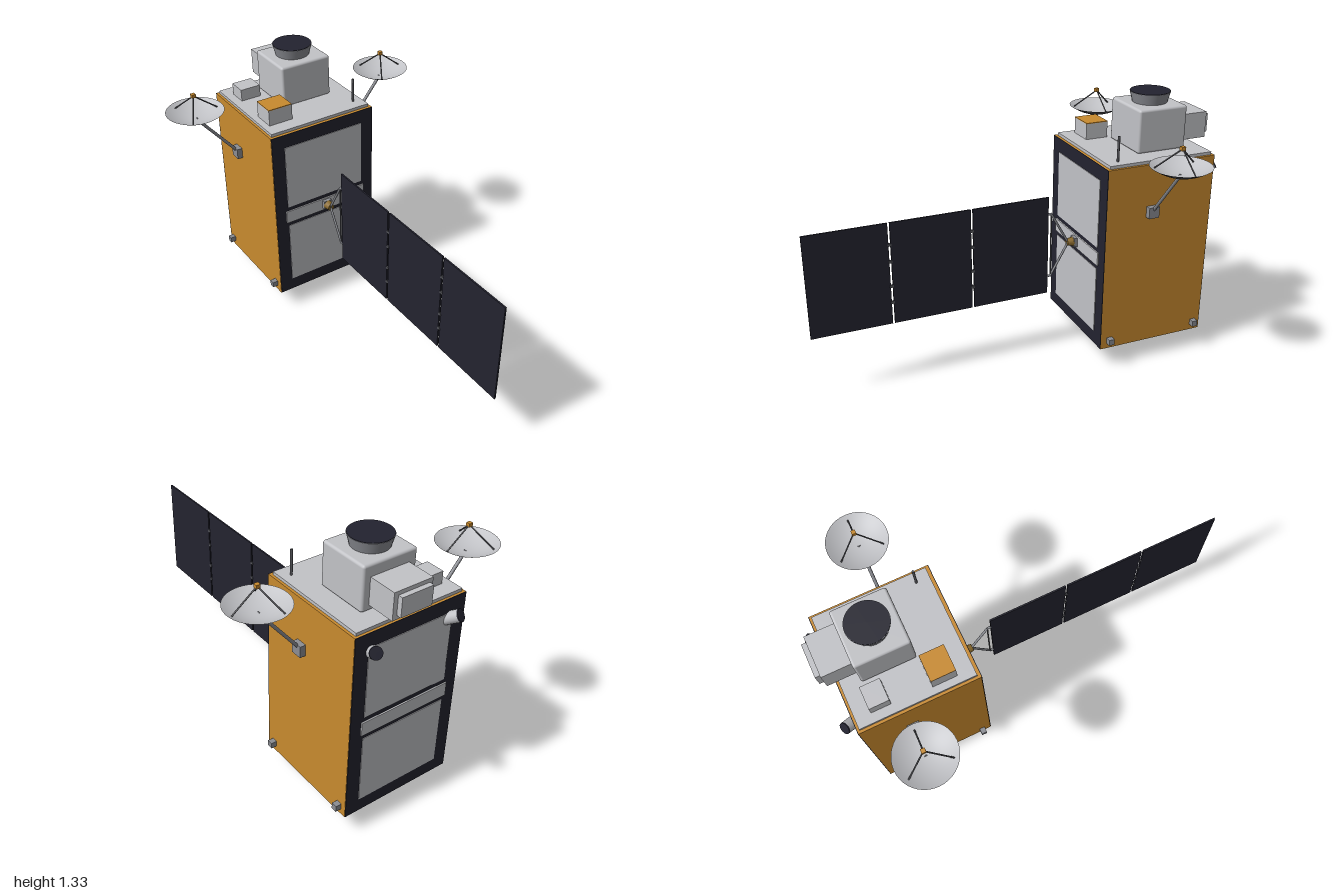
import * as THREE from 'three';
import { RoundedBoxGeometry } from 'three/addons/geometries/RoundedBoxGeometry.js';

const mat = (name, color) => {
  const m = new THREE.MeshStandardMaterial({ color });
  m.name = name;
  return m;
};

export function createModel() {
  const foil = mat('gold foil', 0xc88a2e);
  const navy = mat('dark navy', 0x23232f);
  const light = mat('light grey', 0xc2c3c7);
  const grey = mat('mid grey', 0x8b8d93);
  const charcoal = mat('charcoal', 0x55565b);
  const bronze = mat('bronze', 0x8a6a2c);

  const model = new THREE.Group();
  model.name = 'satellite';
  const add = (name, geo, m, x = 0, y = 0, z = 0, parent = model) => {
    const mesh = new THREE.Mesh(geo, m);
    mesh.name = name;
    mesh.position.set(x, y, z);
    parent.add(mesh);
    return mesh;
  };
  // box given by its limits on each axis
  const box = (name, m, [x0, x1], [y0, y1], [z0, z1], parent) =>
    add(name, new THREE.BoxGeometry(x1 - x0, y1 - y0, z1 - z0), m,
      (x0 + x1) / 2, (y0 + y1) / 2, (z0 + z1) / 2, parent);
  // round bar between two points
  const rod = (name, m, a, b, r, parent, rEnd = r, sides = 10) => {
    const p = new THREE.Vector3(...a), q = new THREE.Vector3(...b);
    const d = q.clone().sub(p);
    const mid = p.clone().add(q).multiplyScalar(0.5);
    const mesh = add(name, new THREE.CylinderGeometry(rEnd, r, d.length(), sides), m, mid.x, mid.y, mid.z, parent);
    mesh.quaternion.setFromUnitVectors(new THREE.Vector3(0, 1, 0), d.normalize());
    return mesh;
  };
  const lathe = (pts, n = 40) => new THREE.LatheGeometry(pts.map(p => new THREE.Vector2(...p)), n);

  const CZ = -0.65;

  // Main body, with a framed radiator on the front and the back
  box('body', foil, [-0.29, 0.29], [0.102, 1.045], [-0.932, -0.364]);
  for (const s of [1, -1]) {
    const side = new THREE.Group();
    side.name = s > 0 ? 'frontRadiator' : 'backRadiator';
    side.position.z = s > 0 ? -0.364 : -0.932;
    if (s < 0) side.rotation.y = Math.PI;
    model.add(side);
    box('radiatorFrame', navy, [-0.288, 0.29], [0.104, 1.045], [0, 0.003], side);
    box('upperRadiator', light, [-0.22, 0.22], [0.63, 0.975], [0.003, 0.006], side);
    box('lowerRadiator', light, [-0.22, 0.22], [0.172, 0.518], [0.003, 0.006], side);
    box('middleBand', light, [-0.233, 0.233], [0.54, 0.608], [0.003, 0.01], side);
  }

  // Top deck and its instruments
  box('topDeck', light, [-0.277, 0.277], [1.045, 1.06], [-0.922, -0.378]);
  add('instrumentBox', new RoundedBoxGeometry(0.273, 0.212, 0.257, 3, 0.012), light, 0.043, 1.166, -0.705);
  box('rearInstrument', light, [-0.053, 0.143], [1.088, 1.216], [-0.97, -0.82]);
  box('rearInstrumentCover', light, [-0.037, 0.122], [1.107, 1.198], [-0.993, -0.97]);
  add('telescopeHood', new THREE.CylinderGeometry(0.098, 0.084, 0.053, 40), grey, 0.043, 1.297, -0.707);
  add('telescopeOpening', new THREE.CylinderGeometry(0.096, 0.096, 0.004, 40), navy, 0.043, 1.3235, -0.707);
  box('electronicsBox', light, [-0.243, -0.116], [1.06, 1.139], [-0.571, -0.455]);
  box('electronicsLid', foil, [-0.243, -0.116], [1.139, 1.143], [-0.571, -0.455]);
  box('smallBox', light, [-0.233, -0.127], [1.06, 1.12], [-0.85, -0.757]);
  rod('whipAntenna', charcoal, [0.229, 1.06, -0.442], [0.229, 1.182, -0.442], 0.006);

  // Dish antennas on slanting arms
  const bowl = [], inside = [];
  for (let i = 0; i <= 10; i++) {
    const r = 0.142 * i / 10, y = 0.048 * (i / 10) ** 2;
    bowl.push([r, y]);
    inside.unshift([r, y + 0.004 * (1 - i / 10)]);
  }
  for (const [s, z] of [[1, -0.603], [-1, -0.714]]) {
    const dish = new THREE.Group();
    dish.name = s > 0 ? 'leftDish' : 'rightDish';
    dish.position.set(s * 0.507, 1.06, z);
    model.add(dish);
    add('dishBack', lathe(bowl), charcoal, 0, 0, 0, dish);
    add('dishFace', lathe(inside), light, 0, 0, 0, dish);
    for (let k = 0; k < 3; k++) {
      const a = k * Math.PI * 2 / 3;
      rod('feedStrut', charcoal, [0.118 * Math.cos(a), 0.034, 0.118 * Math.sin(a)], [0, 0.127, 0], 0.0035, dish, 0.0035, 6);
    }
    box('feed', foil, [-0.01, 0.01], [0.12, 0.138], [-0.01, 0.01], dish);
    rod('dishArm', grey, [s * 0.303, 0.815, z], [s * 0.505, 1.062, z], 0.008);
    add('armBracket', new THREE.BoxGeometry(0.028, 0.055, 0.055), grey, s * 0.304, 0.81, z);
  }

  // Corner thrusters and rear star trackers
  for (const s of [1, -1]) {
    for (const z of [-0.41, -0.893])
      add('thruster', new THREE.BoxGeometry(0.03, 0.03, 0.028), grey, s * 0.304, 0.146, z);
    const base = new THREE.Vector3(s * 0.198, 0.945, -0.925);
    const dir = new THREE.Vector3(s * 0.35, 0.5, -0.8).normalize();
    const at = t => base.clone().addScaledVector(dir, t).toArray();
    rod('starTracker', light, at(-0.01), at(0.066), 0.028, model, 0.028, 20);
    rod('starTrackerLens', navy, at(0.066), at(0.072), 0.028, model, 0.028, 20);
  }

  // Bottom ring and engine
  add('engineSkirt', new THREE.CylinderGeometry(0.178, 0.155, 0.07, 48), grey, 0, 0.067, CZ);
  add('engineShield', new THREE.CylinderGeometry(0.138, 0.138, 0.004, 48), navy, 0, 0.031, CZ);
  const bell = lathe([[0.025, 0.028], [0.054, 0], [0.06, 0], [0.042, 0.033]]);
  add('engineNozzle', bell, navy, 0, 0, CZ);
  add('engineThroat', new THREE.CylinderGeometry(0.026, 0.026, 0.004, 24), charcoal, 0, 0.028, CZ);

  // Solar wing standing out from the front
  const wing = new THREE.Group();
  wing.name = 'solarWing';
  model.add(wing);
  for (const [z0, z1] of [[0.608, 1], [0.204, 0.598], [-0.2, 0.194]])
    box('solarPanel', navy, [-0.004, 0.004], [0.316, 0.836], [z0, z1], wing);
  for (const z of [0.603, 0.199])
    for (const y of [0.428, 0.513, 0.64, 0.725])
      box('panelHinge', charcoal, [-0.006, 0.006], [y - 0.006, y + 0.006], [z - 0.009, z + 0.009], wing);

  // Yoke joining the wing to the body
  for (const y of [0.408, 0.745]) {
    rod('yokeLeg', grey, [0, y, -0.216], [0, 0.576, -0.312], 0.006, wing);
    rod('yokeTab', grey, [0, y, -0.198], [0, y, -0.218], 0.006, wing);
  }
  rod('yokeBar', charcoal, [0, 0.408, -0.217], [0, 0.745, -0.217], 0.004, wing);
  rod('wingJoint', bronze, [0, 0.576, -0.338], [0, 0.576, -0.305], 0.025, wing, 0.018, 8);
  box('wingMount', grey, [-0.022, 0.022], [0.552, 0.6], [-0.364, -0.336], wing);

  return model;
}
